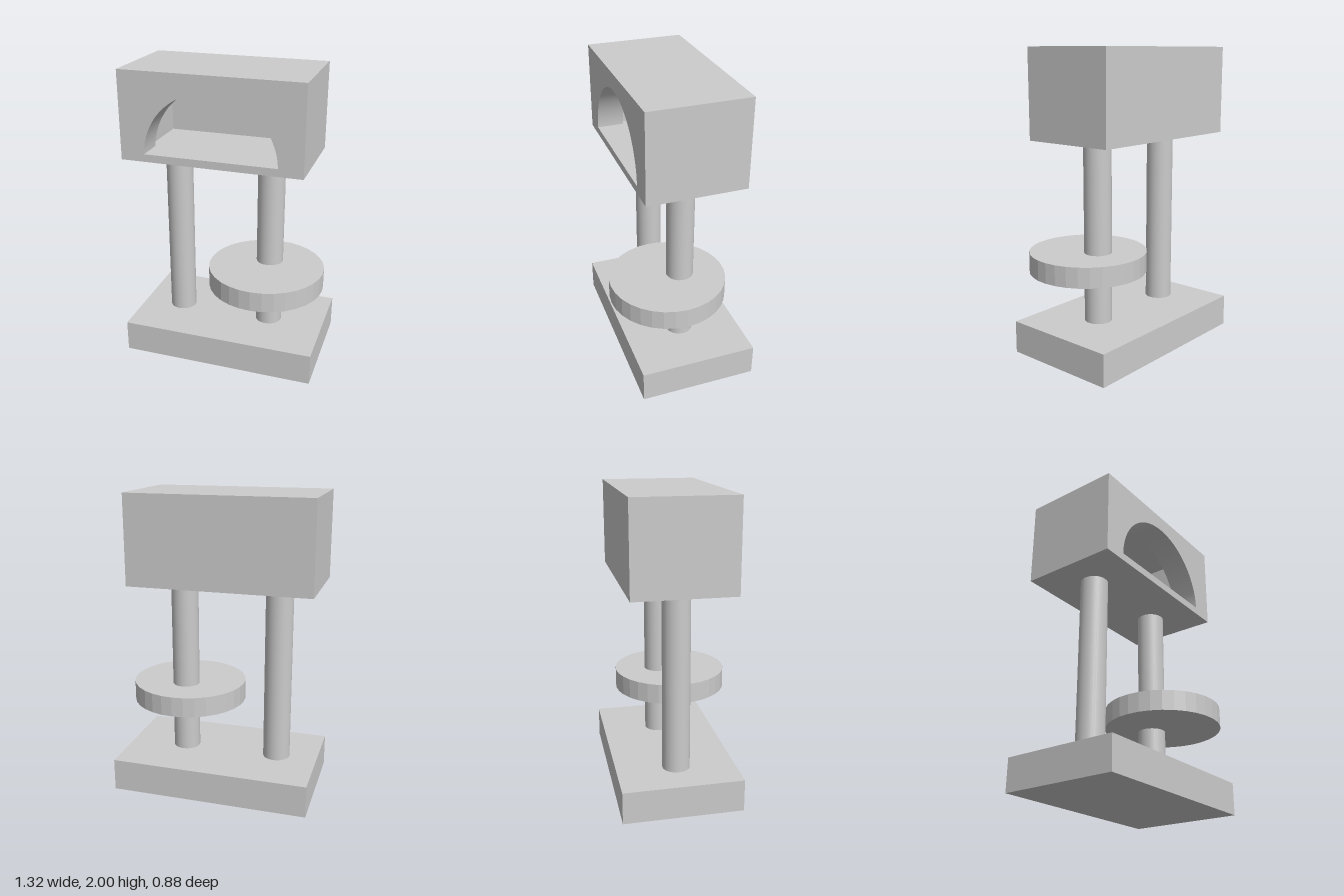
import * as THREE from 'three';

const material = new THREE.MeshStandardMaterial({ color: 0xcccccc });
const facetedMaterial = new THREE.MeshStandardMaterial({ color: 0xcccccc, flatShading: true });

function part(name, geometry, mat = material) {
  const mesh = new THREE.Mesh(geometry, mat);
  mesh.name = name;
  return mesh;
}

// Box given by its lower and upper corners
function box(name, [x0, y0, z0], [x1, y1, z1]) {
  const mesh = part(name, new THREE.BoxGeometry(x1 - x0, y1 - y0, z1 - z0));
  mesh.position.set((x0 + x1) / 2, (y0 + y1) / 2, (z0 + z1) / 2);
  return mesh;
}

// Upright cylinder between two heights
function post(name, x, z, radius, y0, y1, mat) {
  const mesh = part(name, new THREE.CylinderGeometry(radius, radius, y1 - y0, 32), mat);
  mesh.position.set(x, (y0 + y1) / 2, z);
  return mesh;
}

function rectangle(Type, x0, y0, x1, y1) {
  const r = new Type();
  r.moveTo(x0, y0).lineTo(x1, y0).lineTo(x1, y1).lineTo(x0, y1).closePath();
  return r;
}

// Slab with a hole, extruded along z
function slab(name, hole, z0, z1) {
  const outline = rectangle(THREE.Shape, -0.65, 1.416, 0.55, 2);
  outline.holes.push(hole);
  const geometry = new THREE.ExtrudeGeometry(outline, {
    depth: z1 - z0, bevelEnabled: false, curveSegments: 40,
  });
  geometry.translate(0, 0, z0);
  return part(name, geometry);
}

// Hollow head: arched front wall, open ring around the chamber, solid back wall
function createHead() {
  const head = new THREE.Group();
  head.name = 'head';
  const floorY = 1.467, archY = 1.452, radius = 0.44, centreX = -0.05;
  const start = Math.asin((floorY - archY) / radius);
  const arch = new THREE.Path();
  arch.absarc(centreX, archY, radius, start, Math.PI - start, false);
  arch.closePath();
  const chamber = rectangle(THREE.Path, -0.53, floorY, 0.43, 1.93);
  head.add(
    slab('archedFrontWall', arch, 0.1, 0.28),
    slab('chamberWalls', chamber, -0.3, 0.1),
    box('backWall', [-0.65, 1.416, -0.37], [0.55, 2, -0.3]),
  );
  return head;
}

export function createModel() {
  const model = new THREE.Group();
  model.name = 'model';
  model.add(box('base', [-0.66, 0, -0.44], [0.66, 0.215, 0.345]));

  // Two columns carrying the head
  model.add(post('rightColumn', -0.38, -0.043, 0.091, 0.215, 1.416));
  model.add(post('leftColumn', 0.27, -0.043, 0.091, 0.215, 1.416));

  // Round tray set off-centre on the left column
  model.add(post('tray', 0.27, 0.046, 0.39, 0.545, 0.68, facetedMaterial));

  model.add(createHead());
  return model;
}
